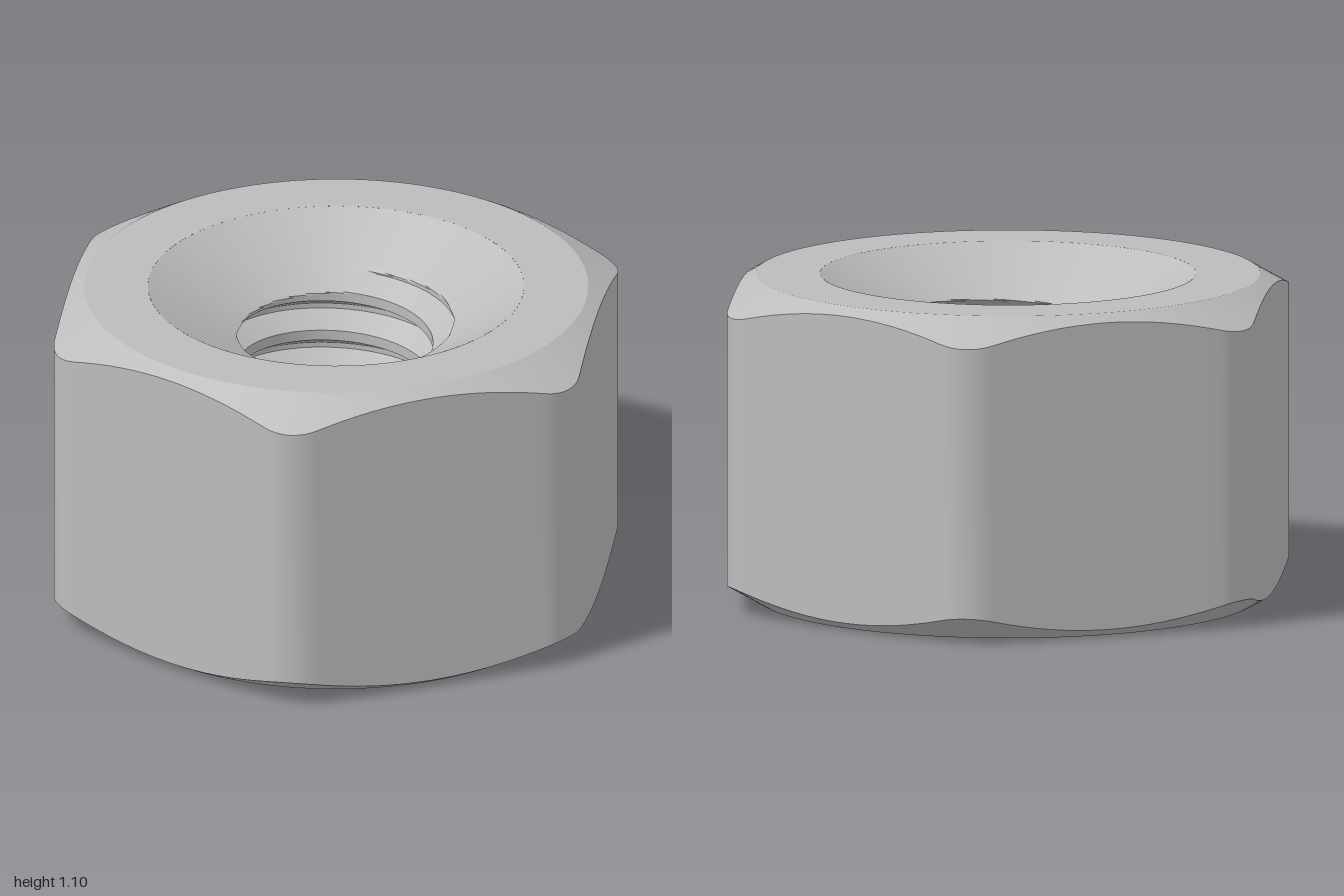
import * as THREE from 'three';
import { toCreasedNormals } from 'three/addons/utils/BufferGeometryUtils.js';

const H = 1.095;                 // nut height
const APOTHEM = 0.89;            // centre to flat
const FILLET = 0.179;            // rounding of the six upright corners
const CHAMFER_R = 0.845;         // circle where the outer chamfer starts
const SINK_R = 0.63;             // rim of the countersink
const MINOR = 0.325, MAJOR = 0.405, PITCH = 0.145;
const T30 = Math.tan(Math.PI / 6);

// Surface from a grid of points; point(i, j) returns a Vector3.
function gridSurface(cols, rows, point) {
  const grid = [];
  for (let i = 0; i <= cols; i++) {
    grid.push([]);
    for (let j = 0; j <= rows; j++) grid[i].push(point(i, j));
  }
  const pos = [];
  const tri = new THREE.Triangle();
  const add = (a, b, c) => {
    tri.set(a, b, c);
    if (tri.getArea() > 1e-9) for (const p of [a, b, c]) pos.push(p.x, p.y, p.z);
  };
  for (let i = 0; i < cols; i++) {
    for (let j = 0; j < rows; j++) {
      const a = grid[i][j], b = grid[i + 1][j], c = grid[i][j + 1], d = grid[i + 1][j + 1];
      add(a, b, c);
      add(b, d, c);
    }
  }
  const geo = new THREE.BufferGeometry();
  geo.setAttribute('position', new THREE.Float32BufferAttribute(pos, 3));
  // creasing compares positions coarsely, so do it at a larger scale
  geo.scale(100, 100, 100);
  const creased = toCreasedNormals(geo, 0.45);
  creased.scale(0.01, 0.01, 0.01);
  return creased;
}

const polar = (r, phi, y) => new THREE.Vector3(r * Math.cos(phi), y, r * Math.sin(phi));

// Rounded hexagon as polar points { r, phi }, corners on the x axis
function hexOutline() {
  const ARC = 10, FLAT = 16, out = [];
  const reach = (APOTHEM - FILLET) / Math.cos(Math.PI / 6);
  const onArc = (k, t) => {
    const corner = k * Math.PI / 3, a = corner + (t - 0.5) * Math.PI / 3;
    return new THREE.Vector2(
      reach * Math.cos(corner) + FILLET * Math.cos(a),
      reach * Math.sin(corner) + FILLET * Math.sin(a));
  };
  for (let k = 0; k < 6; k++) {
    for (let i = 0; i < ARC; i++) out.push(onArc(k, i / ARC));
    const from = onArc(k, 1), to = onArc(k + 1, 0);
    for (let i = 0; i < FLAT; i++) out.push(from.clone().lerp(to, i / FLAT));
  }
  return out.map((p) => ({ r: p.length(), phi: Math.atan2(p.y, p.x) }));
}

// Top face, chamfer, side wall, lower chamfer, bottom face
function bodyGeometry() {
  const outline = hexOutline();
  return gridSurface(outline.length, 5, (i, j) => {
    const { r, phi } = outline[i % outline.length];
    const drop = (r - CHAMFER_R) * T30;
    const [radius, y] = [
      [SINK_R, H], [CHAMFER_R, H], [r, H - drop],
      [r, drop], [CHAMFER_R, 0], [SINK_R, 0],
    ][j];
    return polar(radius, phi, y);
  });
}

// Thread radius over one pitch: upper flank, root, lower flank, crest
function threadRadius(u) {
  const depth = MAJOR - MINOR;
  if (u < 5 / 16) return MINOR + depth * u * 16 / 5;
  if (u < 7 / 16) return MAJOR;
  if (u < 12 / 16) return MAJOR - depth * (u - 7 / 16) * 16 / 5;
  return MINOR;
}

// Bore: right-handed helical thread opened by a countersink at each end
function boreGeometry() {
  const STEPS = 32, COLS = 80, FIRST = -60, LAST = 228;
  return gridSurface(COLS, LAST - FIRST, (i, j) => {
    const phi = i / COLS * Math.PI * 2;
    const step = LAST - j;
    const u = ((step % STEPS) + STEPS) % STEPS / STEPS;
    const depth = THREE.MathUtils.clamp(
      0.164 + PITCH * (i / COLS - 0.5 + step / STEPS), 0, H);
    const nearEnd = Math.min(depth, H - depth);
    const r = Math.max(threadRadius(u), SINK_R - nearEnd / T30);
    return polar(r, phi, H - depth);
  });
}

export function createModel() {
  const steel = new THREE.MeshStandardMaterial({ color: 0xbcbcbc });
  steel.name = 'steel grey';

  const nut = new THREE.Group();
  nut.name = 'hexNut';
  const body = new THREE.Mesh(bodyGeometry(), steel);
  body.name = 'hexBody';
  const bore = new THREE.Mesh(boreGeometry(), steel);
  bore.name = 'threadedBore';
  nut.add(body, bore);
  return nut;
}
